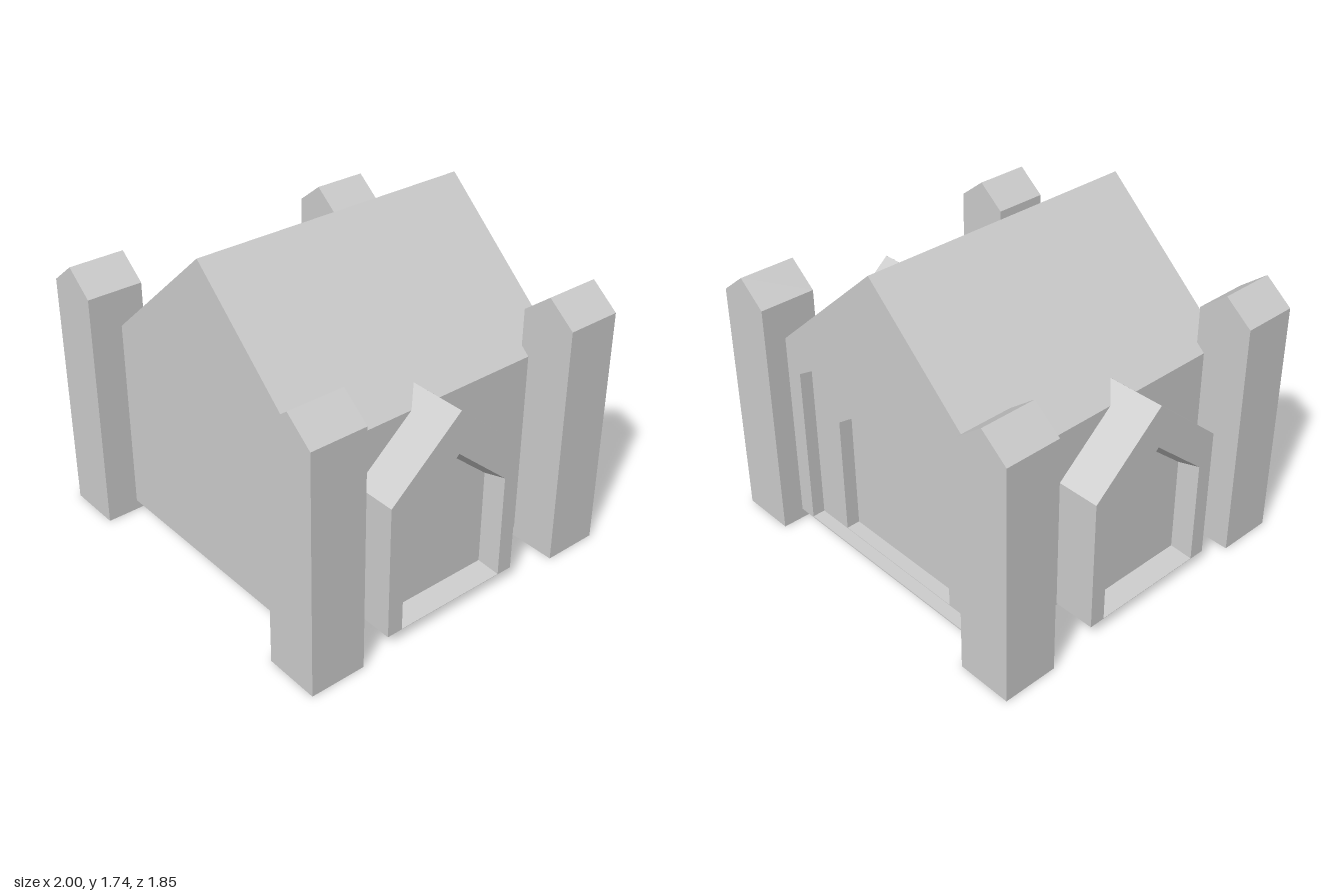
import * as THREE from 'three';

const material = new THREE.MeshStandardMaterial({ color: 0xcccccc, flatShading: true });

// Five-cornered house outline at depth z, counter-clockwise seen from +z
function house(half, base, eave, apex, z) {
  return [[-half, base, z], [half, base, z], [half, eave, z], [0, apex, z], [-half, eave, z]];
}

// Joins successive outlines with quads and caps both ends
function loft(name, loops) {
  const positions = [];
  const tri = (a, b, c) => positions.push(...a, ...b, ...c);
  const n = loops[0].length;
  for (let k = 0; k < loops.length - 1; k++) {
    const a = loops[k], b = loops[k + 1];
    for (let i = 0; i < n; i++) {
      const j = (i + 1) % n;
      tri(a[i], a[j], b[j]);
      tri(a[i], b[j], b[i]);
    }
  }
  const first = loops[0], last = loops[loops.length - 1];
  for (let i = 1; i < n - 1; i++) {
    tri(first[0], first[i + 1], first[i]);
    tri(last[0], last[i], last[i + 1]);
  }
  const geometry = new THREE.BufferGeometry();
  geometry.setAttribute('position', new THREE.Float32BufferAttribute(positions, 3));
  geometry.computeVertexNormals();
  const mesh = new THREE.Mesh(geometry, material);
  mesh.name = name;
  return mesh;
}

export function createModel() {
  const model = new THREE.Group();
  model.name = 'gabledHouse';

  // Main hall: plain front, stepped doorway recess in the back gable
  const hall = loft('mainHall', [
    house(0.745, 0.055, 1.07, 1.74, -0.755),
    house(0.745, 0.055, 1.07, 1.74, 0.81),
    house(0.6, 0.062, 0.95, 1.33, 0.81),
    house(0.6, 0.062, 0.95, 1.33, 0.74),
    house(0.4, 0.065, 0.73, 1.02, 0.74),
    house(0.4, 0.065, 0.73, 1.02, 0.665),
  ]);
  hall.rotation.y = Math.PI;
  model.add(hall);

  for (const side of [1, -1]) {
    const label = side > 0 ? 'left' : 'right';

    // Side porch with a tapering recess
    const porch = loft(label + 'Porch', [
      house(0.405, 0.065, 0.795, 1.145, 0.6),
      house(0.405, 0.065, 0.795, 1.145, 0.975),
      house(0.318, 0.067, 0.64, 0.915, 0.975),
      house(0.293, 0.1, 0.625, 0.875, 0.865),
    ]);
    porch.rotation.y = side * Math.PI / 2;
    porch.position.z = 0.05;
    model.add(porch);

    // Corner pillars with small gabled tops
    for (const end of [1, -1]) {
      const pillar = loft(label + (end > 0 ? 'Front' : 'Back') + 'Pillar', [
        house(0.151, 0, 1.31, 1.43, -0.151),
        house(0.151, 0, 1.31, 1.43, 0.151),
      ]);
      pillar.position.set(side * 0.849, 0, end * 0.776);
      model.add(pillar);
    }
  }
  return model;
}
